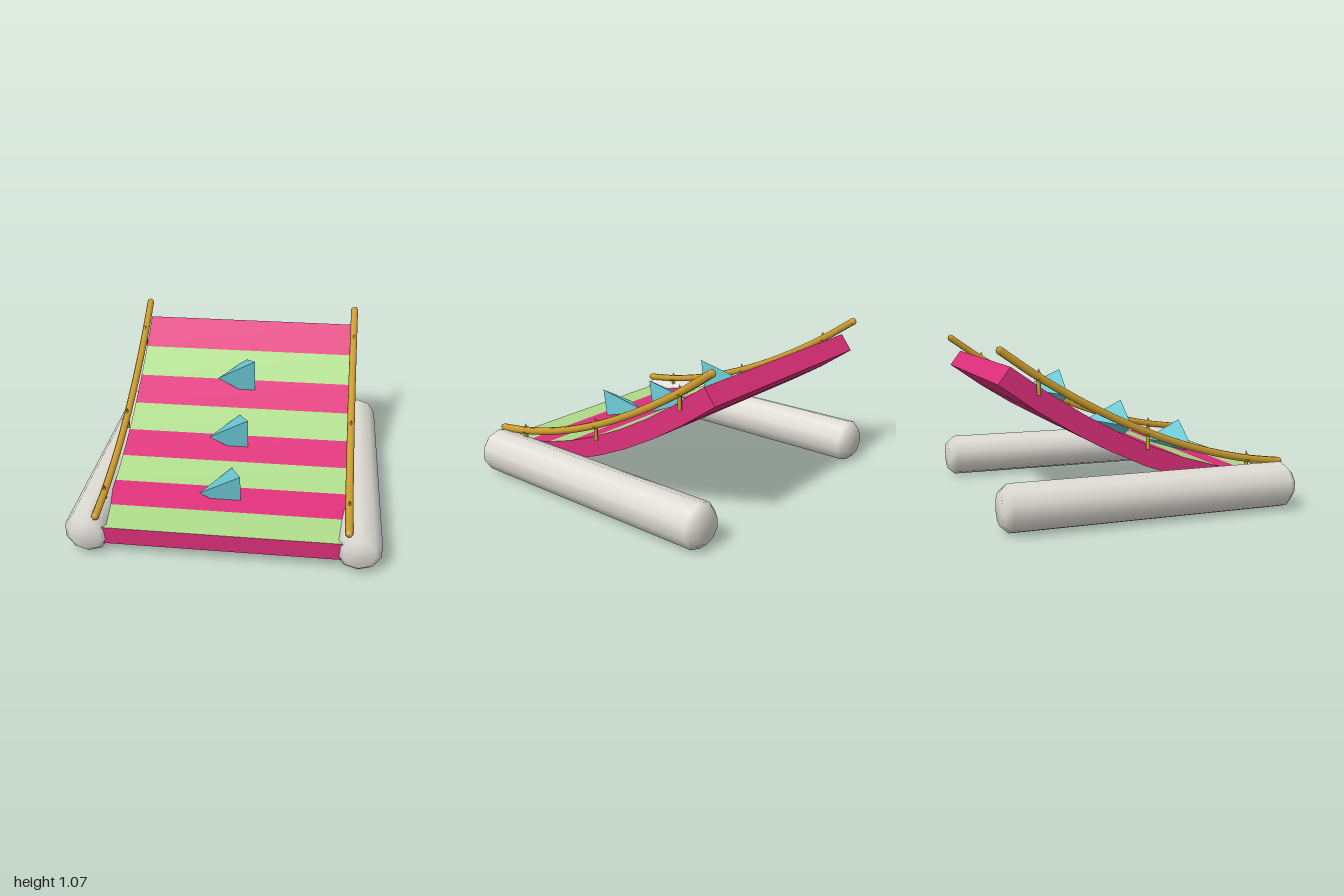
import * as THREE from 'three';

const mat = (name, color) => {
  const m = new THREE.MeshStandardMaterial({ color });
  m.name = name;
  return m;
};

export function createModel() {
  const pink = mat('pink', 0xdd307a);
  const green = mat('light green', 0xaeda8a);
  const gold = mat('gold', 0xd0a030);
  const teal = mat('teal', 0x6ccbd6);
  const grey = mat('pale grey', 0xdfdcd5);

  const group = new THREE.Group();
  const add = (name, geometry, material, parent = group) => {
    const m = new THREE.Mesh(geometry, material);
    m.name = name;
    parent.add(m);
    return m;
  };

  // Curved striped deck: eight flat strips along a rising curve
  const STRIPES = 8, LENGTH = 1.78, HALF = 0.77, THICK = 0.127;
  const deckY = t => 0.205 + 0.155 * t + 0.59 * t * t;
  const top = [], bottom = [];
  for (let i = 0; i <= STRIPES; i++) {
    const t = i / STRIPES, z = 0.93 - LENGTH * t, y = deckY(t);
    const slope = (0.155 + 1.18 * t) / LENGTH, n = Math.hypot(1, slope);
    top.push([y, z]);
    bottom.push([y - THICK / n, z - THICK * slope / n]);
  }
  const at = (x, p) => [x, ...p];
  const quad = (list, a, b, c, d) => list.push(...a, ...b, ...c, ...a, ...c, ...d);
  const body = [], stripes = [];
  for (let i = 0; i < STRIPES; i++) {
    const [t0, t1, b0, b1] = [top[i], top[i + 1], bottom[i], bottom[i + 1]];
    quad(i % 2 ? body : stripes, at(-HALF, t0), at(HALF, t0), at(HALF, t1), at(-HALF, t1));
    quad(body, at(-HALF, b1), at(HALF, b1), at(HALF, b0), at(-HALF, b0));
    quad(body, at(HALF, b0), at(HALF, b1), at(HALF, t1), at(HALF, t0));
    quad(body, at(-HALF, t0), at(-HALF, t1), at(-HALF, b1), at(-HALF, b0));
  }
  quad(body, at(-HALF, bottom[0]), at(HALF, bottom[0]), at(HALF, top[0]), at(-HALF, top[0]));
  quad(body, at(HALF, bottom[STRIPES]), at(-HALF, bottom[STRIPES]), at(-HALF, top[STRIPES]), at(HALF, top[STRIPES]));
  const faces = list => {
    const g = new THREE.BufferGeometry();
    g.setAttribute('position', new THREE.Float32BufferAttribute(list, 3));
    g.computeVertexNormals();
    return g;
  };
  add('deckBody', faces(body), pink);
  add('deckStripes', faces(stripes), green);

  // Floats: ten-sided cylinders with bevelled ends
  const floatProfile = [[0, -0.957], [0.1, -0.953], [0.1475, -0.9], [0.1475, 0.9], [0.1, 0.953], [0, 0.957]]
    .map(p => new THREE.Vector2(...p));
  const floatGeo = new THREE.LatheGeometry(floatProfile, 10).rotateX(Math.PI / 2);

  // Handrail path
  const railPath = new THREE.CatmullRomCurve3(
    [[0.925, 0.285], [0.69, 0.318], [0.35, 0.4], [0, 0.525], [-0.35, 0.69], [-0.69, 0.888], [-0.915, 1.045]]
      .map(([z, y]) => new THREE.Vector3(0, y, z)));
  const railGeo = new THREE.TubeGeometry(railPath, 20, 0.026, 6);
  const capGeo = new THREE.SphereGeometry(0.026, 6, 4);
  const postGeo = new THREE.CylinderGeometry(0.013, 0.013, 0.11, 6);
  const knobGeo = new THREE.ConeGeometry(0.027, 0.06, 6);

  for (const [side, s] of [['left', 1], ['right', -1]]) {
    add(side + 'Float', floatGeo, grey).position.set(s * 0.86, 0.1475, 0);

    const rail = new THREE.Group();
    rail.name = side + 'Handrail';
    rail.position.x = s * 0.79;
    group.add(rail);
    add('rail', railGeo, gold, rail);
    for (const u of [0, 1]) add('railEnd', capGeo, gold, rail).position.copy(railPath.getPoint(u));

    // Posts with pointed knobs
    for (const [z, y] of [[0.69, 0.318], [0, 0.525], [-0.69, 0.888]]) {
      add('post', postGeo, gold, rail).position.set(0, y - 0.05, z);
      add('knob', knobGeo, gold, rail).position.set(0, y + 0.02, z);
    }
  }

  // Three-sided spikes lying along the deck, points to the back
  const spikeGeo = new THREE.ConeGeometry(0.18, 0.276, 3, 1, false, Math.PI * 1.5)
    .translate(0, 0.138, 0).rotateX(-Math.PI / 2 + 0.15).toNonIndexed();
  spikeGeo.computeVertexNormals();
  for (const [y, z] of [[0.297, 0.605], [0.462, 0.145], [0.697, -0.315]]) {
    add('spike', spikeGeo, teal).position.set(0, y, z);
  }

  return group;
}
